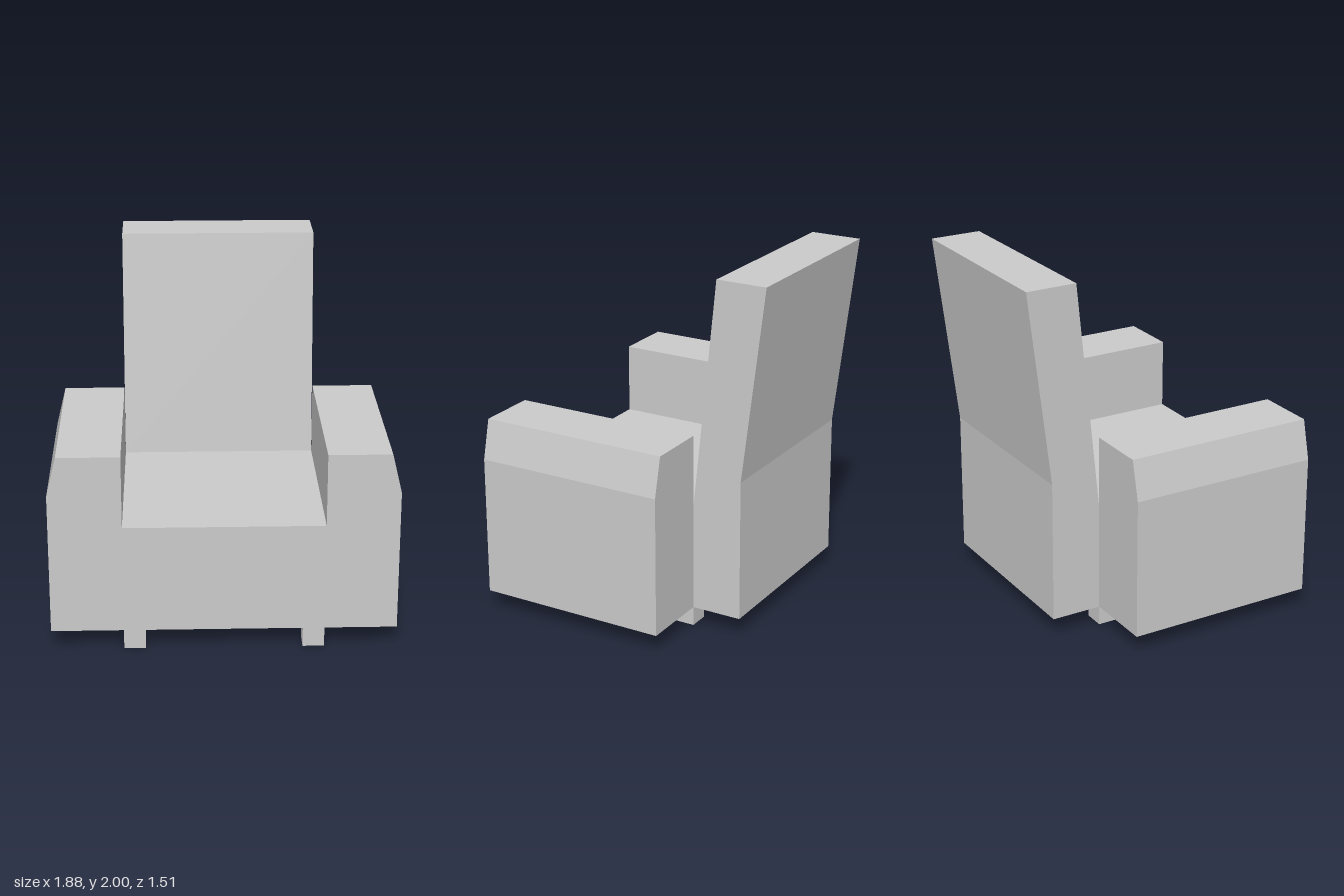
import * as THREE from 'three';

const material = new THREE.MeshStandardMaterial({ color: 0xcccccc, flatShading: true });

// Straight extrusion of a closed outline, starting at z = 0
function extrude(points, depth) {
  const shape = new THREE.Shape(points.map(([x, y]) => new THREE.Vector2(x, y)));
  return new THREE.ExtrudeGeometry(shape, { depth, bevelEnabled: false });
}

export function createModel() {
  const model = new THREE.Group();
  model.name = 'armchair';

  const add = (name, geometry) => {
    const mesh = new THREE.Mesh(geometry, material);
    mesh.name = name;
    model.add(mesh);
    return mesh;
  };

  const base = 0.11, rear = -0.333, front = 0.757, seatHalf = 0.545;

  // Seat and arms: one U-shaped front outline with chamfered outer arm edges
  const half = [[0.94, base], [0.94, 0.9], [0.887, 1.12], [seatHalf, 1.12], [seatHalf, 0.715]];
  const mirrored = half.map(([x, y]) => [-x, y]).reverse();
  add('seatAndArms', extrude([...half, ...mirrored], front - rear)).position.z = rear;

  // Backrest: upright lower part leaning back above; outline is (-z, y)
  const back = extrude([
    [-rear, base], [0.62, base], [0.62, 0.91],
    [0.757, 2], [0.467, 2], [-rear, 0.715],
  ], seatHalf * 2);
  back.rotateY(Math.PI / 2);
  add('backrest', back).position.x = -seatHalf;

  // Four short square feet
  const foot = 0.118;
  for (const side of [-1, 1]) {
    for (const z of [front - foot / 2, rear + foot / 2]) {
      const name = (z > 0 ? 'front' : 'rear') + (side > 0 ? 'Left' : 'Right') + 'Foot';
      add(name, new THREE.BoxGeometry(foot, base, foot))
        .position.set(side * (seatHalf - foot / 2), base / 2, z);
    }
  }

  return model;
}
